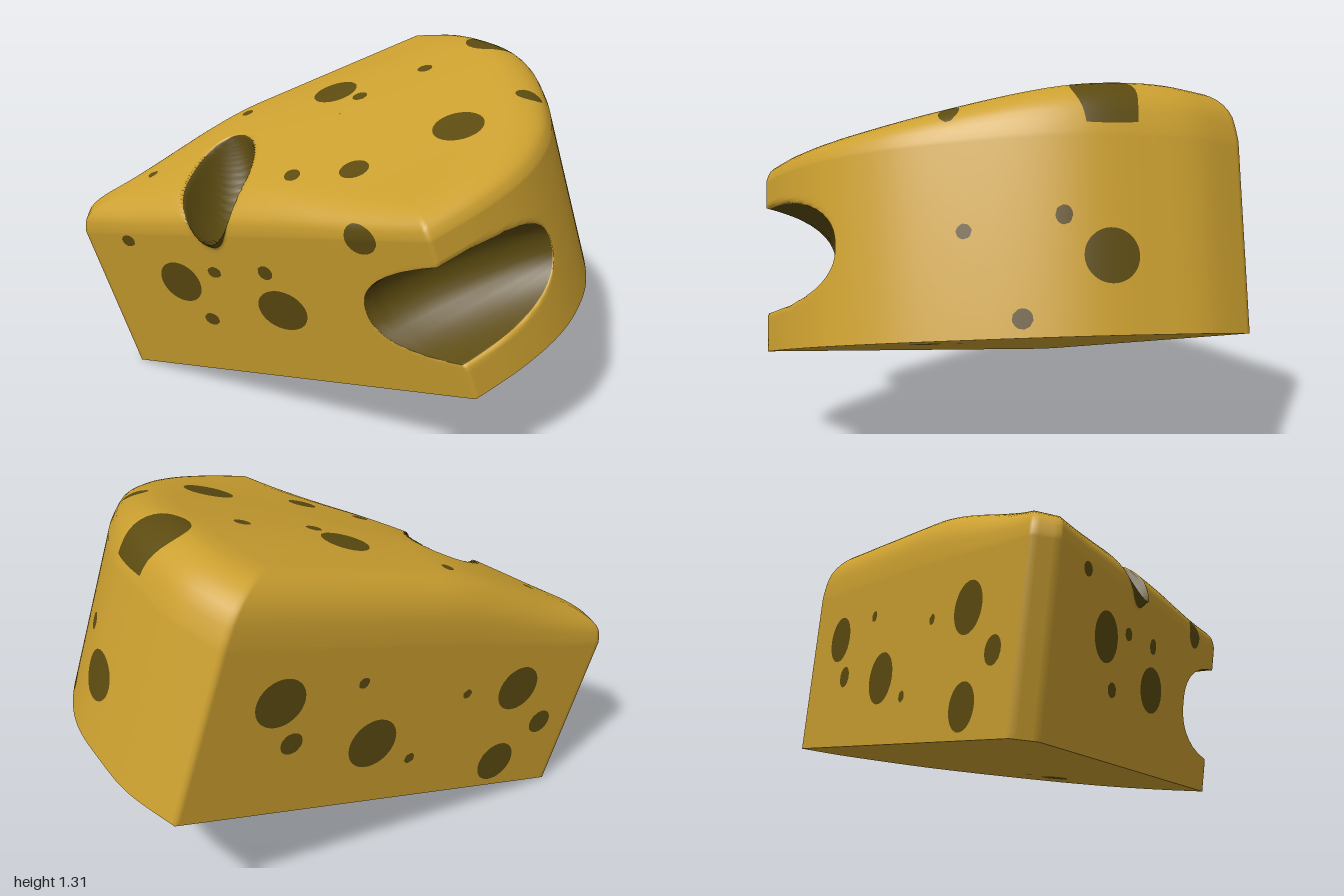
import * as THREE from 'three';

const TILT = 0.295, LIFT = 0.245, COS = Math.cos(TILT), SIN = Math.sin(TILT);
const V2 = (x, y) => new THREE.Vector2(x, y);
const { smoothstep, clamp } = THREE.MathUtils;

// Spots per face, in the wedge's own untilted frame: [across, along, radius across, radius along]
const leftSpots = [[-0.83, 0.61, 0.025], [-0.64, 0.48, 0.072, 0.088], [-0.52, 0.57, 0.024], [-0.53, 0.34, 0.027],
  [-0.35, 0.63, 0.024, 0.03], [-0.29, 0.48, 0.08, 0.085], [-0.07, 0.87, 0.045, 0.055]]
  .map(([x, y, a, b]) => [x * COS + (y - LIFT) * SIN, (y - LIFT) * COS - x * SIN, a, b]);
const rindSpots = [[0.14, 0.34, 0.025], [-0.17, 0.38, 0.028, 0.032], [-0.32, 0.25, 0.092, 0.088], [-0.03, 0.06, 0.033]];
const backSpots = [[0.56, 0.44, 0.092], [0.47, 0.28, 0.042], [0.25, 0.5, 0.022], [0.125, 0.25, 0.098], [-0.07, 0.17, 0.022],
  [-0.24, 0.43, 0.02], [-0.49, 0.44, 0.092], [-0.68, 0.28, 0.05], [-0.52, 0.11, 0.083]];
const topSpots = [[-0.73, -0.32, 0.022], [-0.31, -0.43, 0.024], [0.03, -0.31, 0.088], [0.1, -0.19, 0.03], [0.375, -0.24, 0.03],
  [0.68, -0.33, 0.11], [0.34, 0.27, 0.095], [0.63, 0.17, 0.045, 0.035], [-0.05, 0.31, 0.055], [-0.25, 0.2, 0.03, 0.037]]
  .map(([x, z, a, b]) => [x / COS + 0.25, z, a, b]);
const bottomSpots = [[0.64, 0.25, 0.08, 0.055], [0.65, 0.135, 0.03, 0.012]];

// Two large bites: a slanting one on the upper edge, one out of the front corner
const bites = [
  { c: [-0.285, 0.92, 0], r: [0.165, 0.41, 0.28], power: 2, slant: 0.35, dark: 0.97 },
  { c: [0.43, 0.33, 0.95], r: [0.63, 0.2, 0.45], power: 2.4, slant: 0, dark: 0.94 },
];

const nearest = (spots, a, b) => Math.min(...spots.map(([x, y, r, q = r]) =>
  (Math.hypot((a - x) / r, (b - y) / q) - 1) * Math.min(r, q)));

// Wedge outline seen from above, with the face each point belongs to
function makeOutline() {
  const out = [];
  const add = (curve, n, face) => {
    for (let i = 0; i < n; i++) out.push({ p: curve.getPointAt(i / n), face });
  };
  const tip = V2(-0.85, -0.35), tipBack = V2(-0.835, -0.44), front = V2(0.31, 0.8), back = V2(0.825, -0.82);
  add(new THREE.LineCurve(tip, front), 110, 'left');
  add(new THREE.SplineCurve([front, V2(0.51, 0.72), V2(0.69, 0.61), V2(0.825, 0.47), V2(0.93, 0.29), V2(1.02, 0),
    V2(1.045, -0.24), V2(1.0, -0.47), V2(0.94, -0.65), back]), 120, 'rind');
  add(new THREE.LineCurve(back, tipBack), 100, 'back');
  add(new THREE.LineCurve(tipBack, tip), 4, 'tip');
  return out;
}

// Rings from the middle of the base, out, up the wall, over the bevel and in: [scale, height, zone]
function makeRings() {
  const rings = [];
  for (let i = 0; i <= 30; i++) rings.push([Math.max(i / 30, 0.001), 0, 'bottom']);
  for (let i = 0; i <= 36; i++) rings.push([1, 0.65 * i / 36, 'wall']);
  const bevel = new THREE.SplineCurve([V2(1, 0.65), V2(0.98, 0.74), V2(0.93, 0.8), V2(0.85, 0.84), V2(0.76, 0.852)]);
  for (let i = 1; i <= 12; i++) {
    const p = bevel.getPointAt(i / 12);
    rings.push([p.x, p.y, 'top']);
  }
  for (let i = 1; i <= 30; i++) rings.push([Math.max(0.76 * (1 - i / 30), 0.001), 0.852 + 0.008 * i / 30, 'top']);
  return rings;
}

// Signed distance to the nearest spot on a given face
function spotField(x, y, z, face, zone) {
  if (zone === 'bottom') return nearest(bottomSpots, x, z);
  let f = zone === 'top' ? nearest(topSpots, x, z) : 1;
  if (face === 'left') f = Math.min(f, nearest(leftSpots, x, y));
  if (face === 'back') f = Math.min(f, nearest(backSpots, x, y));
  if (face === 'rind') f = Math.min(f, nearest(rindSpots, z, y));
  return f;
}

function buildSurface() {
  const outline = makeOutline(), rings = makeRings(), n = outline.length;
  const pos = [], field = [], index = [];
  for (const [s, h, zone] of rings) {
    for (const { p, face } of outline) {
      let v = [0.25 + (p.x - 0.25) * s, h, -0.1 + (p.y + 0.1) * s];
      // the top sinks towards the tip and towards the front corner
      const sink = 0.1 * smoothstep(-v[0], 0, 0.8) + 0.14 * smoothstep(v[2], -0.5, 0.7);
      v[1] -= Math.min(sink, 0.15) * clamp((h - 0.6) / 0.25, 0, 1);
      let f = spotField(...v, face, zone);
      for (const { c, r, power, slant, dark } of bites) {
        const rel = v.map((q, k) => q - c[k]);
        rel[0] += slant * rel[2];
        const d = rel.reduce((sum, q, k) => sum + Math.abs(q / r[k]) ** power, 0) ** (1 / power);
        f = Math.min(f, (d - dark) * 0.3);
        if (d < 1) v = [c[0] + (rel[0] - slant * rel[2]) / d, c[1] + rel[1] / d, c[2] + rel[2] / d];
      }
      pos.push(...v);
      field.push(f);
    }
  }
  for (let j = 0; j < rings.length - 1; j++) {
    // the base keeps a sharp edge against the wall
    if (rings[j][2] === 'bottom' && rings[j + 1][2] === 'wall') continue;
    for (let i = 0; i < n; i++) {
      const k = (i + 1) % n, a = j * n + i, b = j * n + k;
      index.push(a, b, b + n, a, b + n, a + n);
    }
  }
  const g = new THREE.BufferGeometry();
  g.setAttribute('position', new THREE.Float32BufferAttribute(pos, 3));
  g.setIndex(index);
  g.computeVertexNormals();
  return { g, field };
}

// Cut every triangle along the spot outlines and keep one side
function cutSide({ g, field }, sign) {
  const P = g.attributes.position, N = g.attributes.normal, idx = g.index.array;
  const pos = [], nor = [];
  const corner = i => [P.getX(i), P.getY(i), P.getZ(i), N.getX(i), N.getY(i), N.getZ(i), field[i] * sign];
  for (let t = 0; t < idx.length; t += 3) {
    const tri = [corner(idx[t]), corner(idx[t + 1]), corner(idx[t + 2])], poly = [];
    tri.forEach((a, i) => {
      const b = tri[(i + 1) % 3];
      if (a[6] >= 0) poly.push(a);
      if (a[6] * b[6] < 0) {
        const k = a[6] / (a[6] - b[6]);
        poly.push(a.map((q, m) => q + (b[m] - q) * k));
      }
    });
    for (let i = 1; i < poly.length - 1; i++) {
      for (const v of [poly[0], poly[i], poly[i + 1]]) {
        pos.push(v[0], v[1], v[2]);
        nor.push(v[3], v[4], v[5]);
      }
    }
  }
  const out = new THREE.BufferGeometry();
  out.setAttribute('position', new THREE.Float32BufferAttribute(pos, 3));
  out.setAttribute('normal', new THREE.Float32BufferAttribute(nor, 3));
  return out;
}

export function createModel() {
  const cheese = new THREE.MeshStandardMaterial({ color: 0xcca030 });
  cheese.name = 'cheese yellow';
  const hollow = new THREE.MeshStandardMaterial({ color: 0x5c4b10 });
  hollow.name = 'hole brown';

  const surface = buildSurface();
  const body = new THREE.Mesh(cutSide(surface, 1), cheese);
  body.name = 'cheeseBody';
  const holes = new THREE.Mesh(cutSide(surface, -1), hollow);
  holes.name = 'cheeseHoles';

  // The wedge rests on its tip, leaning up to the rind
  const wedge = new THREE.Group();
  wedge.name = 'tiltedWedge';
  wedge.add(body, holes);
  wedge.rotation.z = TILT;
  wedge.position.y = LIFT;

  const model = new THREE.Group();
  model.name = 'cheeseWedge';
  model.add(wedge);
  return model;
}
